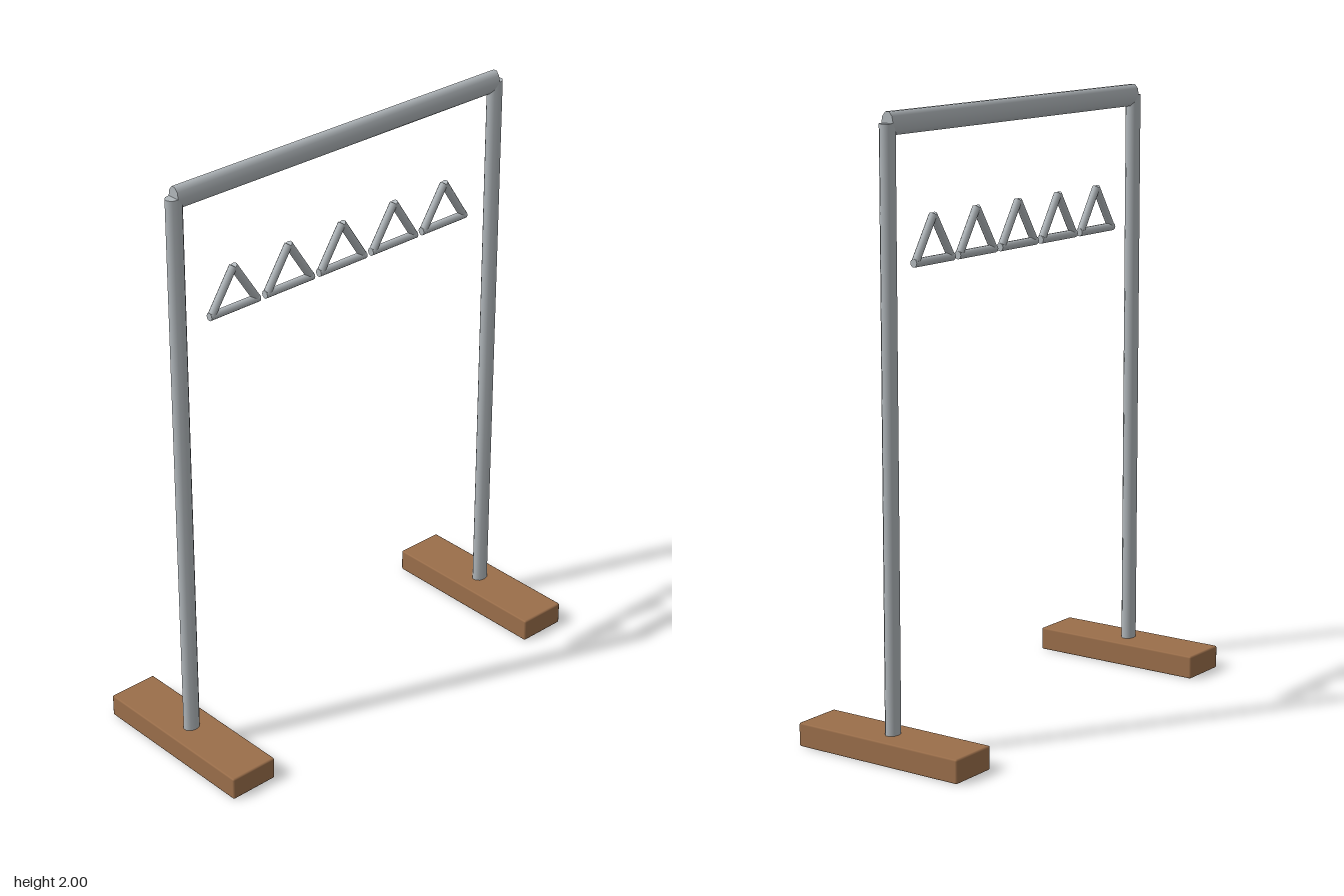
import * as THREE from 'three';
import { RoundedBoxGeometry } from 'three/addons/geometries/RoundedBoxGeometry.js';

export function createModel() {
  const model = new THREE.Group();
  const steel = new THREE.MeshStandardMaterial({ color: 0xb1b7bb });
  steel.name = 'steel';
  const wood = new THREE.MeshStandardMaterial({ color: 0x9a6e4a });
  wood.name = 'wood';

  // Oval bar between two points in the xy plane; w = half width, d = half depth
  function bar(name, x0, y0, x1, y1, w, d, sides = 10) {
    const length = Math.hypot(x1 - x0, y1 - y0);
    const geometry = new THREE.CylinderGeometry(1, 1, length, sides);
    geometry.scale(w, 1, d);
    const mesh = new THREE.Mesh(geometry, steel);
    mesh.name = name;
    mesh.position.set((x0 + x1) / 2, (y0 + y1) / 2, 0);
    mesh.rotation.z = -Math.atan2(x1 - x0, y1 - y0);
    return mesh;
  }

  // Wooden feet and uprights
  for (const [side, s] of [['left', 1], ['right', -1]]) {
    const foot = new THREE.Mesh(new RoundedBoxGeometry(0.172, 0.078, 0.62, 1, 0.006), wood);
    foot.name = side + 'Foot';
    foot.position.set(s * 0.66, 0.039, 0);
    model.add(foot, bar(side + 'Post', s * 0.661, 0, s * 0.661, 1.965, 0.0295, 0.0225));
  }

  // Crossbar
  model.add(bar('crossbar', -0.661, 1.964, 0.661, 1.964, 0.0375, 0.0225));

  // Row of triangular hand grips
  for (let i = -2; i <= 2; i++) {
    const grip = new THREE.Group();
    grip.name = 'triangleGrip' + (i + 3);
    grip.position.x = i * 0.221;
    grip.add(bar('gripBase', -0.098, 1.533, 0.098, 1.533, 0.0135, 0.0125));
    for (const s of [-1, 1]) {
      grip.add(bar('gripSide', s * 0.087, 1.538, 0, 1.672, 0.0135, 0.0125));
    }
    model.add(grip);
  }

  return model;
}
